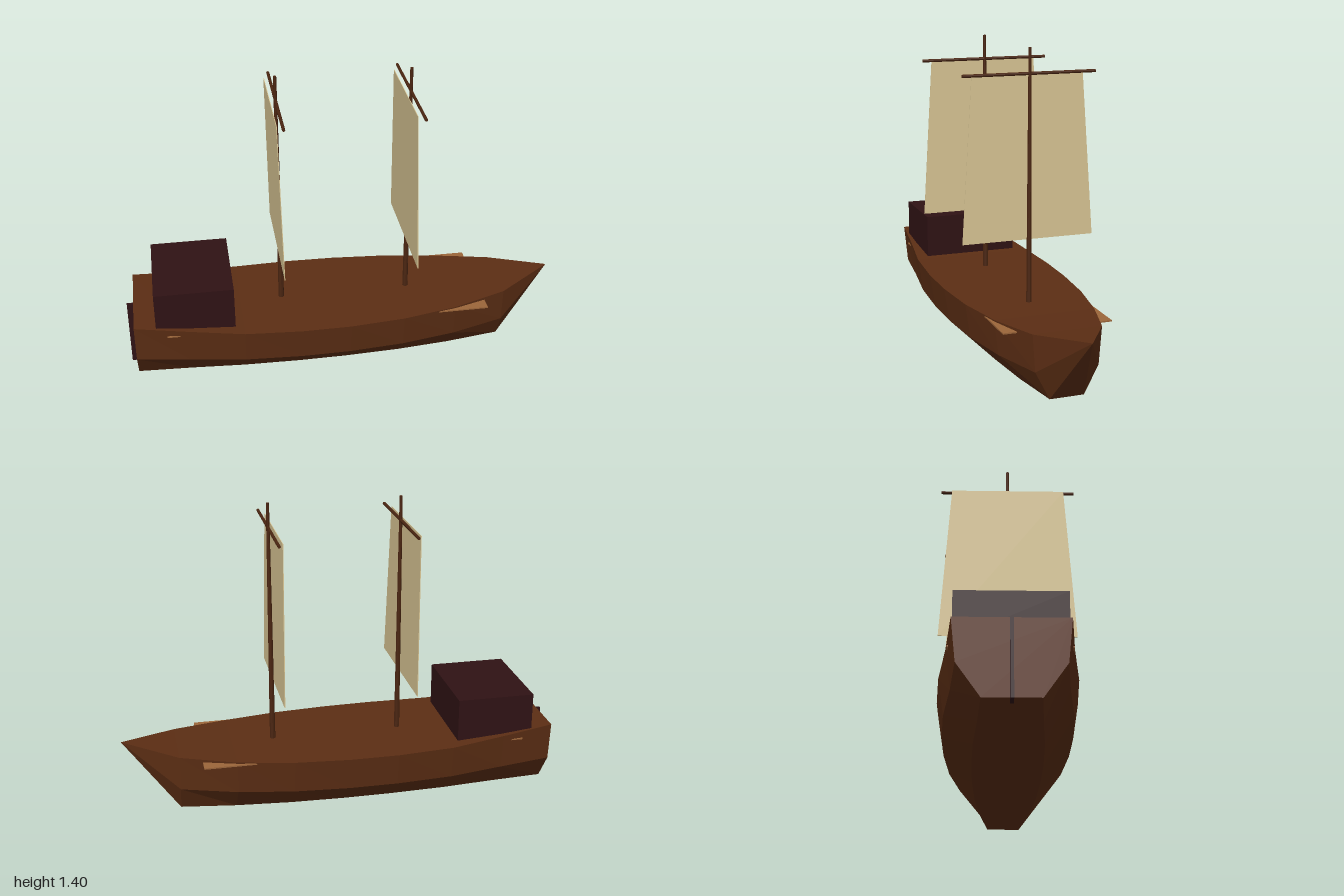
import * as THREE from 'three';

const paint = (name, color) => {
  const m = new THREE.MeshStandardMaterial({ color, flatShading: true });
  m.name = name;
  return m;
};

export function createModel() {
  const hullBrown = paint('hull brown', 0x5c2e14);
  const sparBrown = paint('spar brown', 0x4a2511);
  const plankTan = paint('plank tan', 0x9c663a);
  const maroon = paint('dark maroon', 0x2f1214);
  const canvas = paint('canvas', 0xd8c594);
  canvas.side = THREE.DoubleSide;

  const model = new THREE.Group();
  model.name = 'sailingShip';
  const add = (parent, name, geometry, material, x = 0, y = 0, z = 0) => {
    const mesh = new THREE.Mesh(geometry, material);
    mesh.name = name;
    mesh.position.set(x, y, z);
    parent.add(mesh);
    return mesh;
  };

  // Hull: stations of [x, deck half width, deck height], closed by the deck and transom
  const stations = [
    [-0.97, 0.225, 0.33], [-0.73, 0.25, 0.305], [-0.48, 0.285, 0.288],
    [-0.22, 0.299, 0.284], [0, 0.296, 0.283], [0.25, 0.275, 0.284],
    [0.5, 0.228, 0.288], [0.75, 0.152, 0.3],
  ];
  const keelY = 0.012;
  const points = [];
  for (const [x, w, y] of stations) {
    const bilgeY = keelY + (y - keelY) * 0.43;
    points.push(x, y, w, x, bilgeY, w * 0.92, x, keelY, w * 0.5,
      x, keelY, -w * 0.5, x, bilgeY, -w * 0.92, x, y, -w);
  }
  const tip = points.length / 3;
  points.push(1, 0.33, 0);
  const faces = [];
  const last = stations.length - 1;
  for (let i = 0; i < 6; i++) {
    const j = (i + 1) % 6;
    for (let s = 0; s < last; s++) {
      const a = s * 6 + i, d = s * 6 + j;
      faces.push(a, d, d + 6, a, d + 6, a + 6);
    }
    faces.push(last * 6 + i, last * 6 + j, tip);
    if (i > 0 && i < 5) faces.push(0, i + 1, i);
  }
  const indexed = new THREE.BufferGeometry();
  indexed.setAttribute('position', new THREE.Float32BufferAttribute(points, 3));
  indexed.setIndex(faces);
  const hull = indexed.toNonIndexed();
  hull.computeVertexNormals();
  add(model, 'hull', hull, hullBrown);

  // Deck planking that shows past the hull sides near bow and stern
  add(model, 'deckPlanking', new THREE.BoxGeometry(1.475, 0.006, 0.485), plankTan, -0.0875, 0.279, 0);

  // Stern cabin and rudder
  add(model, 'cabin', new THREE.BoxGeometry(0.355, 0.21, 0.447), maroon, -0.695, 0.385, 0);
  add(model, 'rudder', new THREE.BoxGeometry(0.058, 0.316, 0.014), maroon, -0.971, 0.158, 0);

  // Two identical rigs: mast, yard and a tapered sail hanging behind the mast
  for (const [name, x] of [['aftRig', -0.285], ['foreRig', 0.308]]) {
    const rig = new THREE.Group();
    rig.name = name;
    rig.position.x = x;
    model.add(rig);
    add(rig, 'mast', new THREE.CylinderGeometry(0.007, 0.013, 1.15, 8), sparBrown, 0, 0.825, 0);
    add(rig, 'yard', new THREE.CylinderGeometry(0.007, 0.007, 0.6, 8), sparBrown, 0, 1.29, 0).rotation.x = Math.PI / 2;
    const sail = new THREE.BoxGeometry(0.003, 0.72, 0.6);
    const p = sail.attributes.position;
    for (let i = 0; i < p.count; i++) {
      if (p.getY(i) > 0) p.setXYZ(i, p.getX(i) - 0.012, p.getY(i), p.getZ(i) * 0.837);
    }
    sail.computeVertexNormals();
    add(rig, 'sail', sail, canvas, -0.012, 0.926, 0);
  }
  return model;
}
